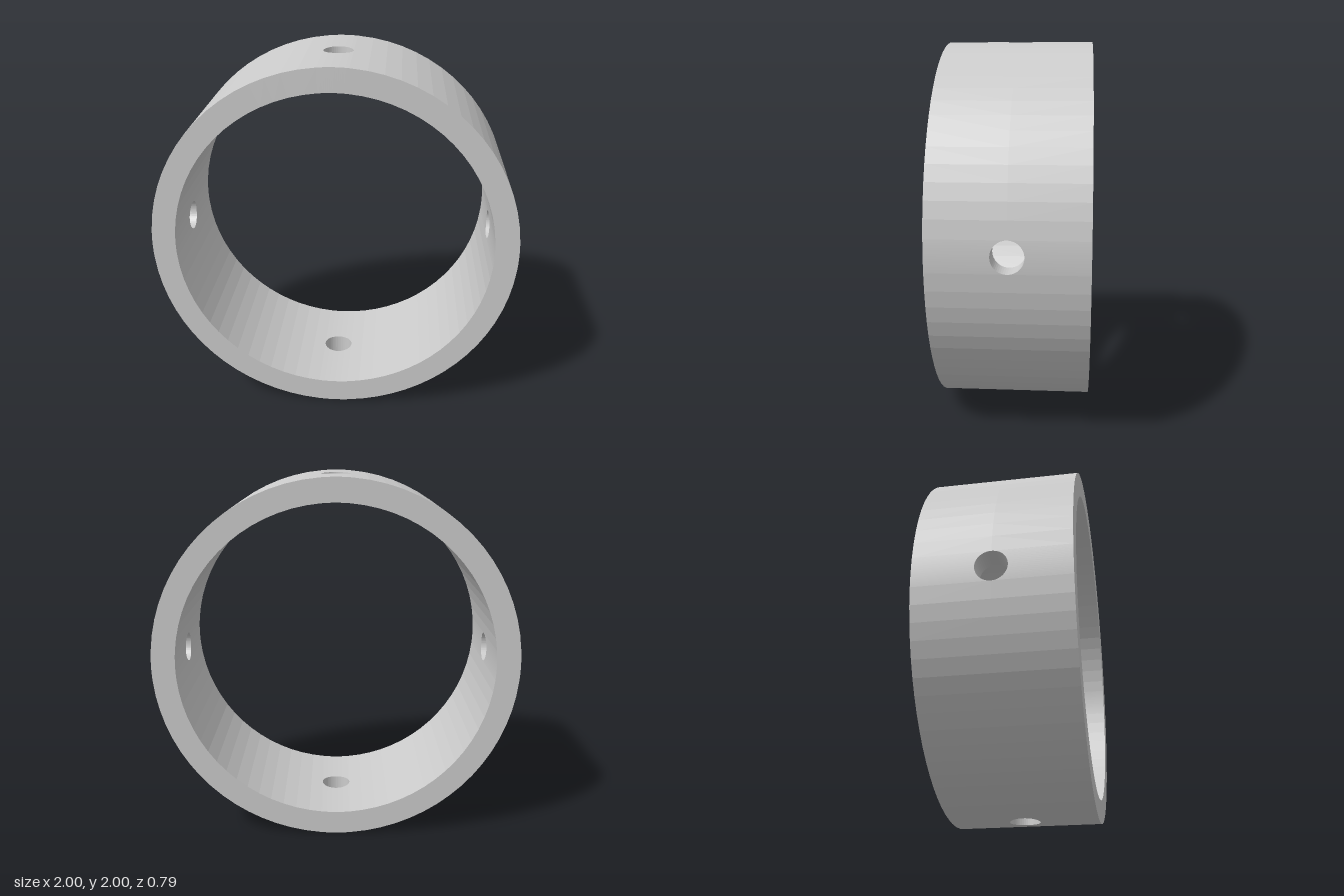
import * as THREE from 'three';

const OUTER = 1, INNER = 0.87, HALF_WIDTH = 0.395, HOLE = 0.082;
const HOLE_STEPS = 24; // columns across one hole

// Columns along a quarter of the ring: plain 5 degree steps either side of the hole
function quarterColumns() {
  const plain = (deg) => {
    const a = THREE.MathUtils.degToRad(deg);
    return { outer: a, inner: a, edge: 0 };
  };
  const columns = [];
  for (let d = -45; d <= -10; d += 5) columns.push(plain(d));
  for (let i = 0; i <= HOLE_STEPS; i++) {
    const phi = Math.PI * (1 - i / HOLE_STEPS);
    const u = HOLE * Math.cos(phi);
    columns.push({
      outer: Math.asin(u / OUTER),
      inner: Math.asin(u / INNER),
      edge: HOLE * Math.sin(phi),
      inHole: i < HOLE_STEPS,
    });
  }
  for (let d = 10; d <= 45; d += 5) columns.push(plain(d));
  return columns;
}

// Quarter of the ring centred on +y, with a straight round hole through its wall
function quarterGeometry() {
  const positions = [];
  const columns = quarterColumns();
  const point = (r, a, z) => [r * Math.sin(a), r * Math.cos(a), z];

  for (const side of [1, -1]) {
    // Section loop: outer rim, outer hole edge, inner hole edge, inner rim
    const loops = columns.map((c) => [
      point(OUTER, c.outer, side * HALF_WIDTH),
      point(OUTER, c.outer, side * c.edge),
      point(INNER, c.inner, side * c.edge),
      point(INNER, c.inner, side * HALF_WIDTH),
    ]);
    for (let i = 0; i < columns.length - 1; i++) {
      for (let j = 0; j < 4; j++) {
        if (j === 1 && !columns[i].inHole) continue; // hole wall only at the hole
        const k = (j + 1) % 4;
        const a = loops[i][j], b = loops[i + 1][j];
        const c = loops[i + 1][k], d = loops[i][k];
        const corners = side > 0 ? [a, b, c, a, c, d] : [a, c, b, a, d, c];
        positions.push(...corners.flat());
      }
    }
  }

  const geometry = new THREE.BufferGeometry();
  geometry.setAttribute('position', new THREE.Float32BufferAttribute(positions, 3));
  geometry.computeVertexNormals();
  return geometry;
}

export function createModel() {
  const model = new THREE.Group();
  model.name = 'drilledRing';
  const material = new THREE.MeshStandardMaterial({ color: 0xcccccc, flatShading: true });
  const geometry = quarterGeometry();

  // Four quarters, with holes at top, left, bottom and right
  ['top', 'left', 'bottom', 'right'].forEach((place, i) => {
    const quarter = new THREE.Mesh(geometry, material);
    quarter.name = `${place}RingQuarter`;
    quarter.position.y = OUTER;
    quarter.rotation.z = -i * Math.PI / 2;
    model.add(quarter);
  });
  return model;
}
